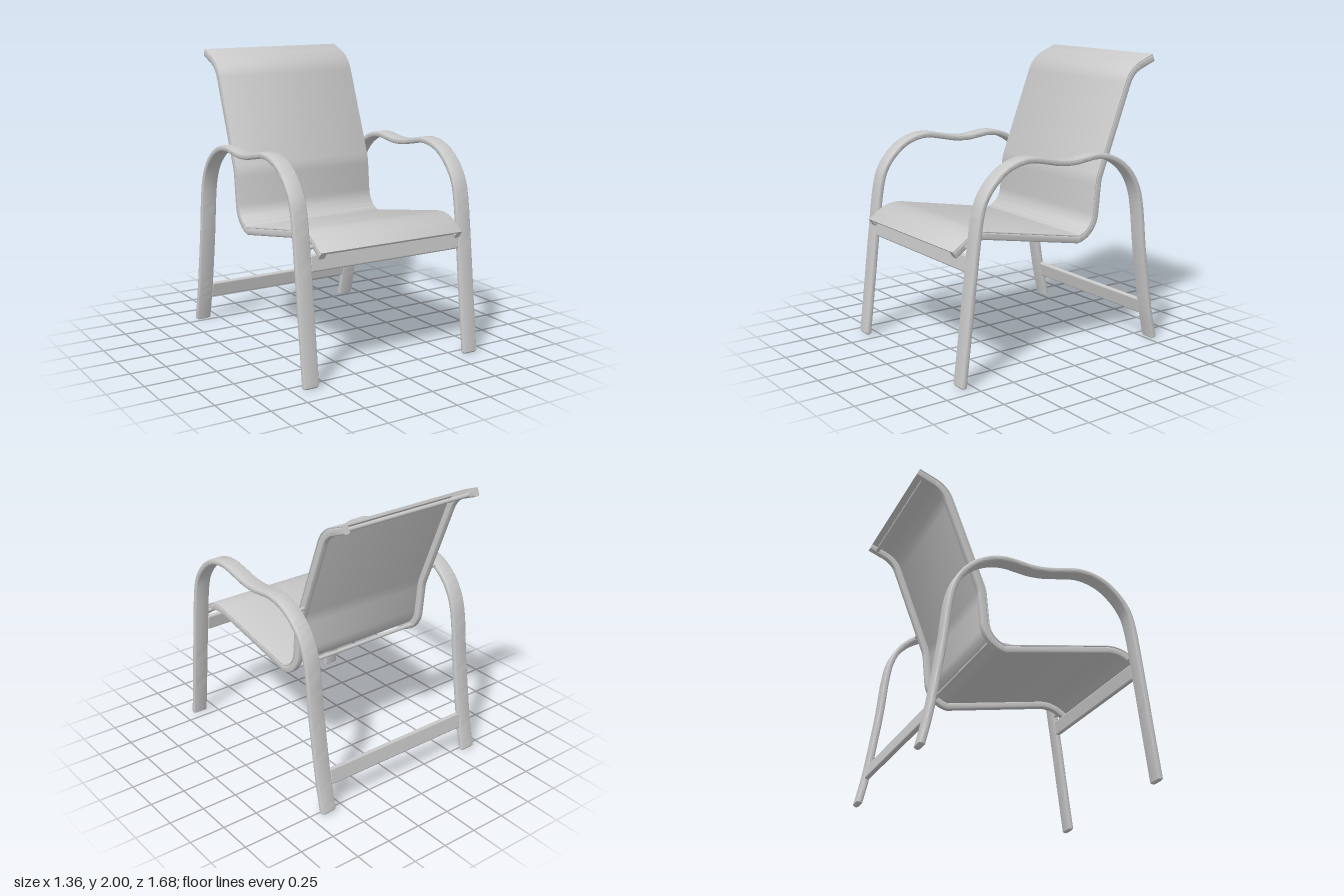
import * as THREE from 'three';
import { toCreasedNormals } from 'three/addons/utils/BufferGeometryUtils.js';
import { RoundedBoxGeometry } from 'three/addons/geometries/RoundedBoxGeometry.js';

const V = (z, y) => new THREE.Vector2(z, y);

// Rounded rectangle section, counter-clockwise; u runs along x, v along the bar's thickness
function section(w, h, r) {
  const pts = [];
  for (const [sx, sy, a0] of [[1, 1, 0], [-1, 1, 1], [-1, -1, 2], [1, -1, 3]])
    for (let i = 0; i <= 4; i++) {
      const a = (a0 + i / 4) * Math.PI / 2;
      pts.push([sx * (w / 2 - r) + r * Math.cos(a), sy * (h / 2 - r) + r * Math.sin(a)]);
    }
  return pts;
}

// Sweep a bar of width w and thickness h along a (z, y) path, shifted by off along its normal
function sweep(path, w, h, r, off = 0, bevel = 0) {
  const sec = section(w, h, r), n = sec.length, pos = [], idx = [];
  const frames = path.map((p, i) => {
    const a = path[Math.max(i - 1, 0)], b = path[Math.min(i + 1, path.length - 1)];
    return { p, t: b.clone().sub(a).normalize(), inset: 0 };
  });
  if (bevel) {
    const a = frames[0], b = frames[frames.length - 1];
    frames.unshift({ p: a.p.clone().addScaledVector(a.t, -bevel), t: a.t, inset: bevel });
    frames.push({ p: b.p.clone().addScaledVector(b.t, bevel), t: b.t, inset: bevel });
  }
  for (const { p, t, inset } of frames)
    for (const [u, v] of sec) {
      const uu = u - Math.sign(u) * inset, vv = v - Math.sign(v) * inset + off;
      pos.push(uu, p.y - t.x * vv, p.x + t.y * vv);
    }
  const last = (frames.length - 1) * n;
  for (let j = 0; j < last; j += n)
    for (let i = 0; i < n; i++) {
      const a = j + i, b = j + (i + 1) % n;
      idx.push(a, a + n, b, b, a + n, b + n);
    }
  for (let k = 1; k < n - 1; k++) idx.push(0, k, k + 1, last, last + k + 1, last + k);
  const g = new THREE.BufferGeometry();
  g.setAttribute('position', new THREE.Float32BufferAttribute(pos, 3));
  g.setIndex(idx);
  return toCreasedNormals(g, 0.6);
}

// Polyline with softened corners; each entry is [z, y, trim distance]
function bentPath(corners) {
  const out = [];
  corners.forEach(([z, y, d], i) => {
    const p = V(z, y);
    if (!d) return out.push(p);
    const toward = (q) => p.clone().add(V(q[0], q[1]).sub(p).setLength(d));
    out.push(...new THREE.QuadraticBezierCurve(toward(corners[i - 1]), p, toward(corners[i + 1])).getPoints(14));
  });
  return out;
}

export function createModel() {
  const group = new THREE.Group();
  const grey = new THREE.MeshStandardMaterial({ color: 0xc8c8c8 });
  grey.name = 'light grey';
  const add = (name, geo, x = 0, y = 0, z = 0) => {
    const m = new THREE.Mesh(geo, grey);
    m.name = name;
    m.position.set(x, y, z);
    group.add(m);
    return m;
  };
  const rod = (name, r, len, x, y, z) => add(name, new THREE.CylinderGeometry(r, r, len, 16).rotateZ(Math.PI / 2), x, y, z);

  // Side frames: front leg, armrest and back leg in one flat bent bar
  const armPath = new THREE.SplineCurve([
    V(0.823, 0.013), V(0.78, 0.36), V(0.735, 0.73), V(0.688, 1.07), V(0.635, 1.215), V(0.53, 1.33),
    V(0.42, 1.387), V(0.30, 1.404), V(0.17, 1.382), V(0.07, 1.362), V(-0.04, 1.355), V(-0.13, 1.364),
    V(-0.23, 1.374), V(-0.34, 1.357), V(-0.45, 1.302), V(-0.54, 1.215), V(-0.60, 1.10), V(-0.632, 0.95),
    V(-0.66, 0.70), V(-0.705, 0.40), V(-0.74, 0.20), V(-0.782, 0.016),
  ]).getPoints(130);
  const armGeo = sweep(armPath, 0.112, 0.04, 0.014, 0, 0.01);

  // Seat side rails and the sling lying on them share one path
  const seatPath = bentPath([
    [0.80, 0.838, 0], [0.645, 0.945, 0.10], [-0.255, 0.77, 0.14], [-0.335, 0.86, 0.09],
    [-0.355, 1.18, 0.04], [-0.632, 1.9, 0.09], [-0.825, 1.978, 0],
  ]);
  // Ease the seat bend with a round arc
  const arc = Array.from({ length: 17 }, (_, i) => {
    const a = -1.76 - i / 16 * 1.32;
    return V(-0.155 + 0.18 * Math.cos(a), 0.968 + 0.18 * Math.sin(a));
  });
  const before = seatPath.filter((p) => p.x > -0.10);
  const after = seatPath.filter((p) => p.x < -0.3 && p.y > 1.05);
  const railPath = [...before, ...arc, ...after];
  const railGeo = sweep(railPath, 0.045, 0.05, 0.012, -0.0025);
  add('slingSeat', sweep(railPath, 1.09, 0.009, 0.003, 0.0245));

  for (const s of [1, -1]) {
    const side = s > 0 ? 'left' : 'right';
    add(side + 'ArmFrame', armGeo, s * 0.625);
    add(side + 'SeatRail', railGeo, s * 0.5225);
    // Spacer pins joining the seat to the side frames
    rod(side + 'FrontSpacer', 0.013, 0.07, s * 0.56, 0.88, 0.712);
    rod(side + 'BackSpacer', 0.012, 0.07, s * 0.56, 1.325, -0.425);
  }

  // Stretchers between the legs
  add('frontStretcher', new RoundedBoxGeometry(1.15, 0.11, 0.034, 3, 0.012), 0, 0.78, 0.727).rotation.x = -0.122;
  add('backStretcher', new RoundedBoxGeometry(1.15, 0.112, 0.034, 3, 0.012), 0, 0.235, -0.733).rotation.x = 0.19;

  // Thin rods between the seat rails
  rod('topRod', 0.014, 1.02, 0, 1.95, -0.775);
  rod('bendRod', 0.013, 1.02, 0, 0.835, -0.287);
  rod('frontRod', 0.014, 1.02, 0, 0.85, 0.765);
  return group;
}
